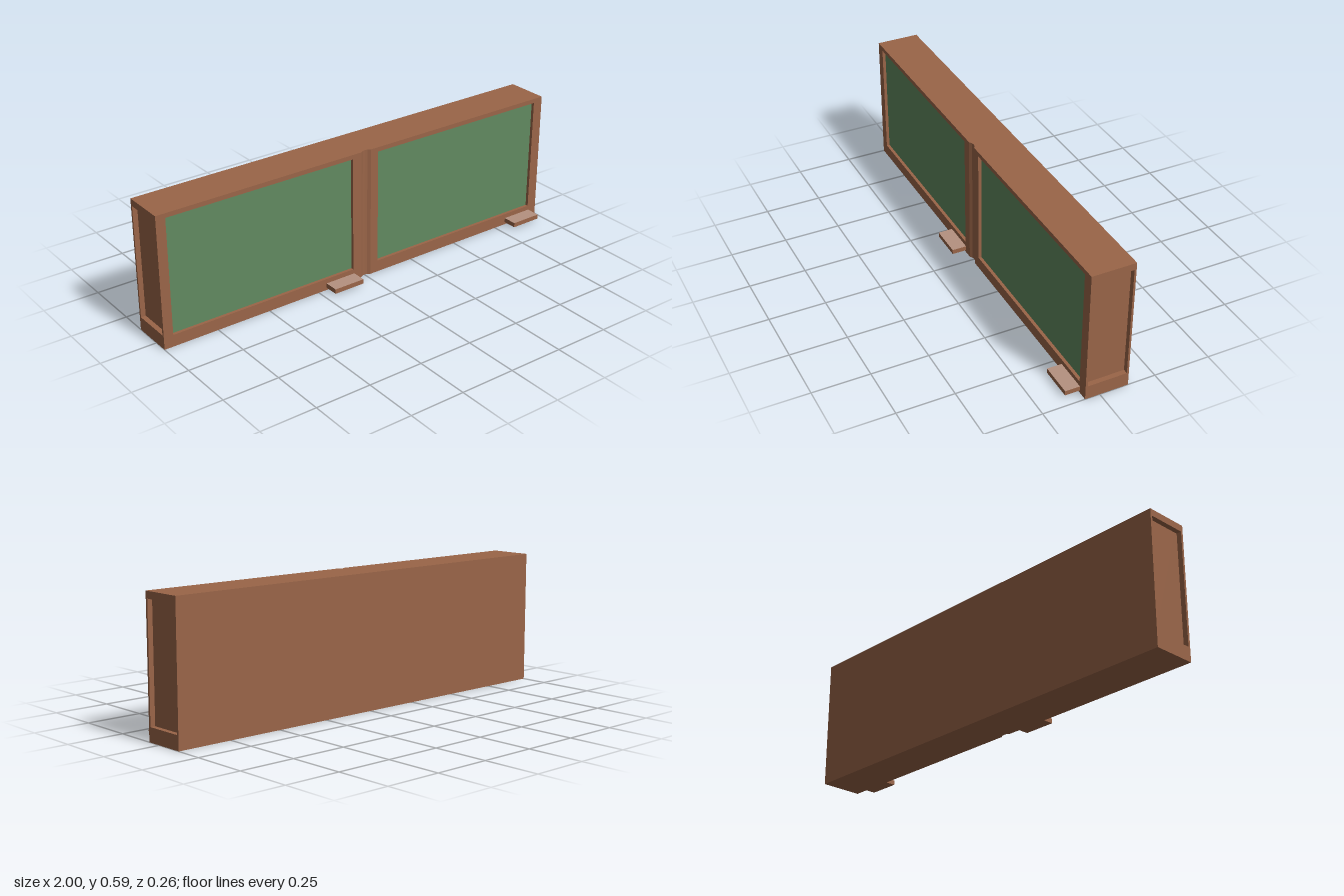
import * as THREE from 'three';

const H = 0.593, BACK = -0.127, FRONT = 0.065;
const SIDE = 0.022;   // depth of the end recesses
const FACE = 0.016;   // depth of the board recesses
const GROOVE = 0.025; // half width of the centre groove

function rectPoints(x0, y0, x1, y1) {
  return [[x0, y0], [x1, y0], [x1, y1], [x0, y1]].map(([x, y]) => new THREE.Vector2(x, y));
}

// Flat rectangular frame with one rectangular opening, extruded along z
function frameGeometry(outer, inner, depth) {
  const shape = new THREE.Shape(rectPoints(...outer));
  shape.holes.push(new THREE.Path(rectPoints(...inner).reverse()));
  return new THREE.ExtrudeGeometry(shape, { depth, bevelEnabled: false });
}

export function createModel() {
  const wood = new THREE.MeshStandardMaterial({ color: 0x9a6548 });
  wood.name = 'brown wood';
  const green = new THREE.MeshStandardMaterial({ color: 0x628a60 });
  green.name = 'board green';
  const pale = new THREE.MeshStandardMaterial({ color: 0xb59180 });
  pale.name = 'pale tray top';

  const model = new THREE.Group();
  model.name = 'doubleChalkboard';
  const add = (name, geometry, material, x = 0, y = 0, z = 0) => {
    const mesh = new THREE.Mesh(geometry, material);
    mesh.name = name;
    mesh.position.set(x, y, z);
    model.add(mesh);
    return mesh;
  };

  // Solid core behind the frames
  const coreDepth = FRONT - FACE - BACK;
  add('core', new THREE.BoxGeometry(2 - 2 * SIDE, H, coreDepth), wood, 0, H / 2, BACK + coreDepth / 2);

  // Front frames with recessed green boards
  const boards = [
    { side: 'right', outer: [-1 + SIDE, 0, -GROOVE, H], inner: [-0.957, 0.053, -0.068, 0.573] },
    { side: 'left', outer: [GROOVE, 0, 1 - SIDE, H], inner: [0.063, 0.053, 0.953, 0.573] },
  ];
  for (const { side, outer, inner } of boards) {
    add(side + 'FrontFrame', frameGeometry(outer, inner, FACE), wood, 0, 0, FRONT - FACE);
    const [x0, y0, x1, y1] = inner;
    add(side + 'Board', new THREE.BoxGeometry(x1 - x0, y1 - y0, 0.002), green,
      (x0 + x1) / 2, (y0 + y1) / 2, FRONT - FACE + 0.001);
  }

  // Centre strip with a shallow groove running up the front
  const strip = new THREE.Shape([
    [-GROOVE, -FRONT + FACE], [GROOVE, -FRONT + FACE], [GROOVE, -FRONT],
    [0.012, -FRONT + 0.008], [0, -FRONT + 0.01], [-0.012, -FRONT + 0.008], [-GROOVE, -FRONT],
  ].map(([x, y]) => new THREE.Vector2(x, y)));
  const stripGeometry = new THREE.ExtrudeGeometry(strip, { depth: H, bevelEnabled: false });
  stripGeometry.rotateX(-Math.PI / 2);
  add('centreGroove', stripGeometry, wood);

  // End frames around the side recesses
  for (const [name, x] of [['leftEndFrame', 1 - SIDE], ['rightEndFrame', -1]]) {
    const geometry = frameGeometry([-FRONT, 0, -BACK, H], [-0.055, 0.062, 0.118, 0.563], SIDE);
    geometry.rotateY(Math.PI / 2);
    add(name, geometry, wood, x);
  }

  // Chalk trays with pale tops
  for (const [name, x] of [['rightTray', -0.136], ['leftTray', 0.884]]) {
    const geometry = new THREE.BoxGeometry(0.147, 0.021, 0.065);
    add(name, geometry, [wood, wood, pale, wood, wood, wood], x, 0.0215, FRONT + 0.0325);
  }

  return model;
}
